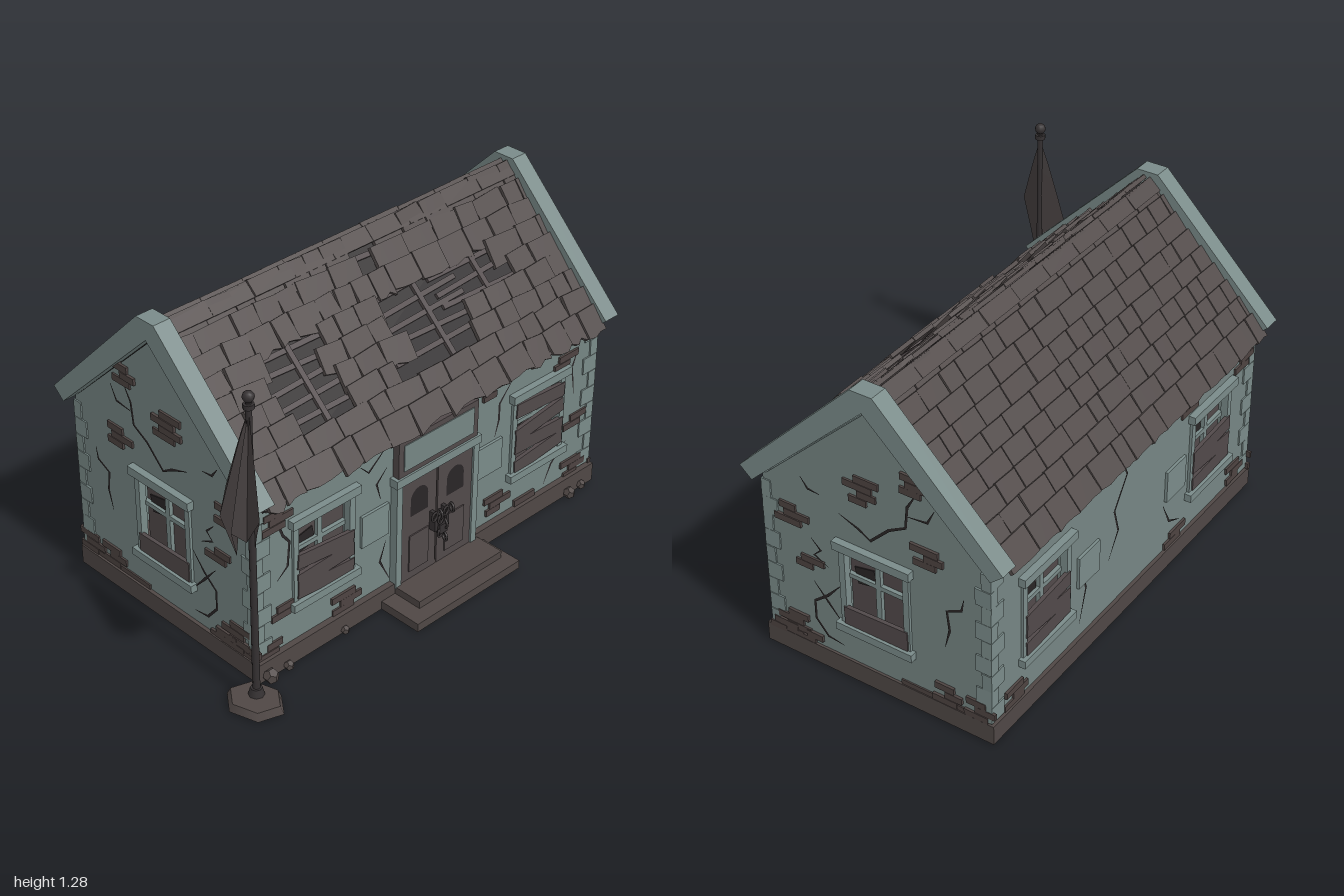
import * as THREE from 'three';
import { mergeGeometries } from 'three/addons/utils/BufferGeometryUtils.js';

const paint = (name, color, extra = {}) =>
  Object.assign(new THREE.MeshStandardMaterial({ color, ...extra }), { name });

// small seeded generator for worn, uneven pieces
let seed = 7;
const rnd = (a = 0, b = 1) => {
  seed = (seed * 16807) % 2147483647;
  return a + (b - a) * seed / 2147483647;
};

export function createModel() {
  seed = 7;
  const plaster = paint('plaster', 0x758583), trim = paint('trim', 0x7a8b89);
  const wood = paint('old wood', 0x51494a), roofTile = paint('roof tile', 0x534c4b);
  const brick = paint('exposed brick', 0x4d4341), stone = paint('base stone', 0x4f4745);
  const dark = paint('dark gap', 0x292526), iron = paint('iron', 0x353132);
  const cloth = paint('flag cloth', 0x443e3e, { side: THREE.DoubleSide });

  const house = new THREE.Group();
  house.name = 'abandonedHouse';
  const add = (parent, name, geo, mat, x = 0, y = 0, z = 0) => {
    const m = new THREE.Mesh(geo, mat);
    m.name = name;
    m.position.set(x, y, z);
    parent.add(m);
    return m;
  };
  const box = (parent, name, mat, w, h, d, x, y, z, rz = 0) => {
    const m = add(parent, name, new THREE.BoxGeometry(w, h, d), mat, x, y, z);
    m.rotation.z = rz;
    return m;
  };
  const group = (name, parent = house) => {
    const g = new THREE.Group();
    g.name = name;
    parent.add(g);
    return g;
  };

  // plinth and entrance steps
  box(house, 'base', stone, 1.79, 0.08, 0.985, 0.08, 0.04, -0.0675);
  box(house, 'lowerStep', stone, 0.545, 0.035, 0.25, 0.063, 0.0175, 0.485);
  box(house, 'upperStep', stone, 0.44, 0.03, 0.18, 0.08, 0.05, 0.46);

  // wall helpers: u runs along the wall, v is height, outside is local +z
  const windowAt = (wall, u, lean) => {
    const g = group('window', wall);
    g.position.x = u;
    box(g, 'windowPane', wood, 0.26, 0.32, 0.006, 0, 0.405, -0.034);
    box(g, 'brokenPane', dark, 0.085, 0.07, 0.004, -0.06, 0.46, -0.028, 0.2);
    box(g, 'lintel', trim, 0.325, 0.035, 0.05, 0, 0.592, 0.003);
    box(g, 'sill', trim, 0.325, 0.032, 0.05, 0, 0.236, 0.003);
    for (const s of [-1, 1]) {
      box(g, 'windowJamb', trim, 0.025, 0.325, 0.03, s * 0.135, 0.412, -0.004);
    }
    box(g, 'mullion', trim, 0.022, 0.32, 0.016, 0, 0.41, -0.022);
    box(g, 'crossBar', trim, 0.26, 0.018, 0.016, 0, 0.45, -0.022);
    lean.forEach(([v, a]) => box(g, 'windowBoard', wood, 0.27, 0.06, 0.016, 0.004, v, 0.008, a));
  };
  const bricksAt = (wall, list) => list.forEach(([u, v, rows = 3]) => {
    const g = group('exposedBricks', wall);
    for (let r = 0; r < rows; r++) {
      const w = rnd(0.07, 0.12);
      box(g, 'brickRow', brick, w, 0.027, rnd(0.01, 0.018),
        u + (r % 2 ? 0.022 : -0.015), v + (r - (rows - 1) / 2) * 0.029, 0.002);
    }
  });
  const crack = (wall, pts, width = 0.011) => {
    const left = [], right = [];
    pts.forEach(([u, v], i) => {
      const a = pts[Math.max(i - 1, 0)], b = pts[Math.min(i + 1, pts.length - 1)];
      const l = Math.hypot(b[0] - a[0], b[1] - a[1]);
      const w = i === 0 || i === pts.length - 1 ? 0.001 : width / 2;
      const nx = -(b[1] - a[1]) / l * w, ny = (b[0] - a[0]) / l * w;
      left.push(new THREE.Vector2(u + nx, v + ny));
      right.unshift(new THREE.Vector2(u - nx, v - ny));
    });
    add(wall, 'crack', new THREE.ShapeGeometry(new THREE.Shape([...left, ...right])), dark, 0, 0, 0.003);
  };
  const makeWall = (name, outline, windows, x, z, turn) => {
    const g = group(name);
    g.position.set(x, 0, z);
    g.rotation.y = turn;
    const shape = new THREE.Shape(outline.map(p => new THREE.Vector2(...p)));
    windows.forEach(([u, lean]) => {
      shape.holes.push(new THREE.Path([[-1, 0.25], [-1, 0.565], [1, 0.565], [1, 0.25]]
        .map(([s, v]) => new THREE.Vector2(u + s * 0.127, v))));
      windowAt(g, u, lean);
    });
    add(g, 'wallPanel', new THREE.ExtrudeGeometry(shape, { depth: 0.04, bevelEnabled: false }), plaster, 0, 0, -0.04);
    return g;
  };
  const long = (a, b) => [[a, 0.07], [b, 0.07], [b, 0.76], [a, 0.76]];
  const gable = s => [[-0.4, 0.07], [0.545, 0.07], [0.545, 0.745], [0.0725, 1.19], [-0.4, 0.745]].map(([u, v]) => [u * s, v]);
  const lowBoards = [[0.285, 0.05], [0.35, -0.08], [0.405, 0.06]];

  const front = makeWall('frontWall', long(-0.8, 0.965),
    [[-0.48, [[0.28, -0.08], [0.34, 0.04], [0.405, -0.1]]], [0.64, [[0.285, 0.1], [0.36, -0.04], [0.43, 0.13], [0.52, -0.06]]]], 0, 0.4, 0);
  bricksAt(front, [[0.375, 0.69], [0.78, 0.63, 2], [-0.7, 0.64], [-0.37, 0.12], [0.42, 0.155], [0.6, 0.095, 1],
    [-0.67, 0.24, 2], [0.87, 0.11], [-0.74, 0.1, 2], [0.86, 0.33, 2]]);
  [[[-0.66, 0.73], [-0.7, 0.64], [-0.67, 0.56], [-0.64, 0.52], [-0.65, 0.42], [-0.7, 0.38]],
    [[0.49, 0.68], [0.42, 0.6], [0.42, 0.53], [0.4, 0.46]], [[-0.17, 0.6], [-0.22, 0.55], [-0.2, 0.48]],
    [[0.87, 0.68], [0.83, 0.58], [0.85, 0.45]], [[-0.3, 0.66], [-0.26, 0.62], [-0.16, 0.7]],
    [[0.82, 0.25], [0.74, 0.18], [0.7, 0.1]], [[-0.17, 0.28], [-0.2, 0.2], [-0.15, 0.1]]].forEach(p => crack(front, p));

  const back = makeWall('backWall', long(-0.965, 0.8), [[-0.64, lowBoards], [0.48, lowBoards]], 0, -0.545, Math.PI);
  bricksAt(back, [[-0.82, 0.12], [-0.38, 0.71, 2], [0.7, 0.13], [0.24, 0.11, 2], [0.72, 0.63, 2], [0.33, 0.67]]);
  [[[-0.18, 0.74], [-0.12, 0.62], [-0.2, 0.5], [-0.17, 0.4], [-0.23, 0.3]],
    [[-0.42, 0.4], [-0.38, 0.28], [-0.42, 0.14]], [[0.15, 0.3], [0.2, 0.2], [0.28, 0.16]]].forEach(p => crack(back, p));

  // both gable ends share one layout, mirrored by s
  for (const [name, s, x] of [['leftGable', 1, 0.965], ['rightGable', -1, -0.8]]) {
    const g = makeWall(name, gable(s), [[0.07 * s, [[0.3, 0.03], [0.265, -0.03]]]], x, 0, s * Math.PI / 2);
    bricksAt(g, [[0.25, 0.965], [0.03, 0.855, 4], [0.3, 0.69], [-0.28, 0.63], [-0.22, 0.445, 2], [-0.3, 0.135, 4],
      [-0.23, 0.1, 2], [0.37, 0.125, 3], [0.5, 0.12, 3], [-0.36, 0.1, 2]].map(([u, v, r]) => [u * s, v, r]));
    [[[0.26, 0.94], [0.22, 0.87], [0.21, 0.78], [0.14, 0.74], [0.06, 0.66], [0.01, 0.69], [-0.07, 0.72]],
      [[0.21, 0.83], [0.3, 0.84], [0.33, 0.9]],
      [[-0.2, 0.56], [-0.16, 0.52], [-0.19, 0.49], [-0.13, 0.46]],
      [[-0.08, 0.4], [-0.14, 0.33], [-0.2, 0.28], [-0.2, 0.2], [-0.15, 0.14], [-0.08, 0.13]],
      [[-0.2, 0.37], [-0.14, 0.3], [-0.08, 0.23]],
      [[0.44, 0.58], [0.43, 0.53], [0.37, 0.5], [0.38, 0.42], [0.36, 0.34]],
      [[-0.23, 0.81], [-0.2, 0.77], [-0.15, 0.765]]].forEach(p => crack(g, p.map(([u, v]) => [u * s, v])));
    box(g, 'brokenPlasterEdge', brick, 0.32, 0.03, 0.008, 0.33 * s, 0.085, 0.002);
  }

  // wall plaques beside the windows, front and back
  for (const [wall, s] of [[front, 1], [back, -1]]) {
    for (const u of [-0.23, 0.37]) box(wall, 'wallPlaque', trim, 0.135, 0.135, 0.014, u * s, 0.38, 0.004);
  }

  // toothed corner stones
  for (const [x, sx] of [[0.965, 1], [-0.8, -1]]) for (const [z, sz] of [[0.4, 1], [-0.545, -1]]) {
    for (let i = 0; i < 9; i++) {
      const w = i % 2 ? 0.04 : 0.075, d = i % 2 ? 0.065 : 0.04;
      box(house, 'cornerStone', trim, w, 0.07, d,
        x + sx * (0.006 - w / 2), 0.12 + i * 0.072, z + sz * (0.006 - d / 2), rnd(-0.04, 0.04));
    }
  }

  // double door with surround, name board and chain
  const door = group('entrance', front);
  door.position.x = 0.07;
  box(door, 'doorBacking', dark, 0.4, 0.46, 0.012, 0, 0.29, 0.012);
  box(door, 'doorLintel', trim, 0.44, 0.035, 0.05, 0, 0.525, 0.012);
  box(door, 'boardBack', wood, 0.41, 0.155, 0.03, 0, 0.62, 0.014);
  box(door, 'boardFace', plaster, 0.36, 0.11, 0.008, 0, 0.62, 0.029);
  for (const s of [-1, 1]) {
    box(door, 'doorPost', trim, 0.028, 0.45, 0.045, s * 0.2, 0.285, 0.01);
    box(door, 'doorLeaf', wood, 0.18, 0.44, 0.02, s * 0.094, 0.283, 0.016);
    const arch = new THREE.Shape();
    arch.moveTo(-0.045, 0).lineTo(0.045, 0).lineTo(0.045, 0.07);
    arch.absarc(0, 0.07, 0.045, 0, Math.PI, false);
    add(door, 'doorWindow', new THREE.ShapeGeometry(arch, 6), dark, s * 0.094, 0.345, 0.0275);
    box(door, 'doorPanel', wood, 0.1, 0.16, 0.012, s * 0.094, 0.18, 0.025);
    box(door, 'doorHandle', iron, 0.015, 0.08, 0.03, s * 0.03, 0.28, 0.04);
  }
  for (let i = 0; i < 8; i++) {
    const side = i < 4;
    const link = add(door, 'chainLink', new THREE.TorusGeometry(0.017, 0.005, 6, 10), iron,
      side ? -0.045 + i * 0.03 : 0.012 * (i % 2 ? 1 : -1), side ? 0.315 : 0.29 - (i - 4) * 0.03, 0.06);
    link.rotation.set(0, i % 2 ? 1.2 : 0.2, 0.4);
  }
  box(door, 'padlock', iron, 0.04, 0.04, 0.02, 0, 0.245, 0.055);

  // roof slopes: local x along the ridge, y out of the slope, z downhill
  const pitch = Math.atan2(0.49, 0.52), len = 0.715, rows = 9;
  const holes = [[0, 0.2, 0, 0.13], [-0.55, -0.27, 0.24, 0.53], [0.04, 0.38, 0.22, 0.54], [0.36, 0.66, 0.24, 0.42]];
  const tile = (w, d, h, ragged) => {
    const geo = new THREE.BoxGeometry(w, h, d, 3, 1, 1), p = geo.attributes.position;
    const edge = [0, 1, 2, 3].map(() => rnd(-ragged, ragged));
    for (let i = 0; i < p.count; i++) {
      if (p.getZ(i) > 0) p.setZ(i, p.getZ(i) + edge[Math.round((p.getX(i) / w + 0.5) * 3)]);
    }
    geo.computeVertexNormals();
    return geo;
  };
  for (const isFront of [true, false]) {
    const side = group(isFront ? 'frontRoof' : 'backRoof');
    side.position.set(0, 1.235, -0.07);
    side.rotation.y = isFront ? 0 : Math.PI;
    const slope = group('roofSlope', side);
    slope.rotation.x = pitch;
    const mid = isFront ? 0.075 : -0.075;
    box(slope, 'roofDeck', dark, 1.72, 0.02, len, mid, -0.018, len / 2);
    box(slope, 'eaveBoard', wood, 1.7, 0.035, 0.02, mid, -0.008, len - 0.005);
    const tiles = [], step = len / rows;
    for (let r = rows - 1; r >= 0; r--) {
      let x = mid - 0.855;
      const end = mid + 0.855;
      while (x < end - 0.02) {
        const w = Math.min(rnd(0.07, 0.17), end - x), c = x + w / 2, s = (r + 0.5) * step;
        x += w;
        if (isFront && holes.some(([a, b, t, q]) => c > a && c < b && s > t && s < q)) continue;
        const worn = isFront ? 1 : 0.35;
        const geo = tile(w - 0.004, step + 0.025, 0.016, 0.013 * worn);
        geo.rotateX(0.13 + rnd(-0.03, 0.05) * worn);
        geo.rotateY(rnd(-0.08, 0.08) * worn);
        geo.translate(c, 0.009 + rnd(0, 0.009) * worn, s + 0.006);
        tiles.push(geo);
      }
    }
    add(slope, 'roofTiles', mergeGeometries(tiles), roofTile);
    // exposed battens and rafters in the holes
    if (isFront) for (const [a, b, t, q] of holes) {
      for (let s = t + 0.025; s < q; s += 0.06) {
        box(slope, 'batten', wood, b - a + 0.1, 0.012, 0.02, (a + b) / 2, -0.001, s).rotation.y = rnd(-0.05, 0.05);
      }
      if (q > 0.2) box(slope, 'rafter', wood, 0.022, 0.014, q - t + 0.06, (a + b) / 2 + 0.03, 0.002, (t + q) / 2);
    }
    for (let i = 0; i < 9; i++) {
      box(slope, 'ridgeCap', roofTile, 0.187, 0.016, 0.065, mid - 0.76 + i * 0.19, 0.016 + rnd(0, 0.005), 0.025);
    }
  }

  // barge boards along both gables
  const barge = new THREE.Shape([[-0.025, 1.275], [-0.115, 1.275], [-0.615, 0.775], [-0.565, 0.73], [-0.07, 1.2],
    [0.425, 0.73], [0.475, 0.775]].map(([z, y]) => new THREE.Vector2(-z, y)));
  for (const x of [-0.84, 0.922]) {
    const m = add(house, 'bargeBoard', new THREE.ExtrudeGeometry(barge, { depth: 0.073, bevelEnabled: false }), trim, x);
    m.rotation.y = Math.PI / 2;
  }

  // flagpole with a limp, folded flag
  const pole = group('flagpole');
  pole.position.set(-0.875, 0, 0.48);
  const foot = add(pole, 'poleFoot', new THREE.CylinderGeometry(0.1, 0.115, 0.03, 6), stone, -0.015, 0.015, 0.01);
  foot.rotation.y = 0.3;
  foot.scale.x = 0.8;
  add(pole, 'poleSocket', new THREE.CylinderGeometry(0.022, 0.03, 0.03, 8), iron, 0, 0.045);
  add(pole, 'poleShaft', new THREE.CylinderGeometry(0.011, 0.014, 1.2, 8), iron, 0, 0.63);
  add(pole, 'poleCollar', new THREE.CylinderGeometry(0.02, 0.02, 0.018, 8), iron, 0, 1.215);
  add(pole, 'poleBall', new THREE.SphereGeometry(0.021, 10, 8), iron, 0, 1.25);
  // each fold: offset x, offset z, hem height
  const folds = [[0.01, 0, 0.64], [-0.03, 0.06, 0.76], [-0.08, 0.13, 0.87], [-0.05, 0.03, 0.72], [-0.125, 0.04, 0.8],
    [-0.06, -0.01, 0.65], [-0.085, -0.06, 0.8], [-0.02, -0.1, 0.87], [0.01, -0.02, 0.66]];
  const pos = [], levels = 4;
  const at = (i, j) => {
    const [x, z, hem] = folds[i], t = j / levels, spread = Math.pow(t, 0.9);
    return [x * spread, 1.2 + (hem - 1.2) * t, z * spread];
  };
  for (let i = 0; i < folds.length - 1; i++) for (let j = 0; j < levels; j++) {
    pos.push(...at(i, j), ...at(i, j + 1), ...at(i + 1, j), ...at(i + 1, j), ...at(i, j + 1), ...at(i + 1, j + 1));
  }
  const flag = new THREE.BufferGeometry();
  flag.setAttribute('position', new THREE.Float32BufferAttribute(pos, 3));
  flag.computeVertexNormals();
  add(pole, 'flag', flag, cloth);

  // loose rubble by the plinth
  for (const [x, z, r] of [[-0.77, 0.44, 0.03], [-0.68, 0.435, 0.02], [0.82, 0.44, 0.025], [0.9, 0.43, 0.02], [-0.4, 0.43, 0.018]]) {
    add(house, 'rubble', new THREE.DodecahedronGeometry(r), stone, x, r * 0.8, z);
  }
  return house;
}
